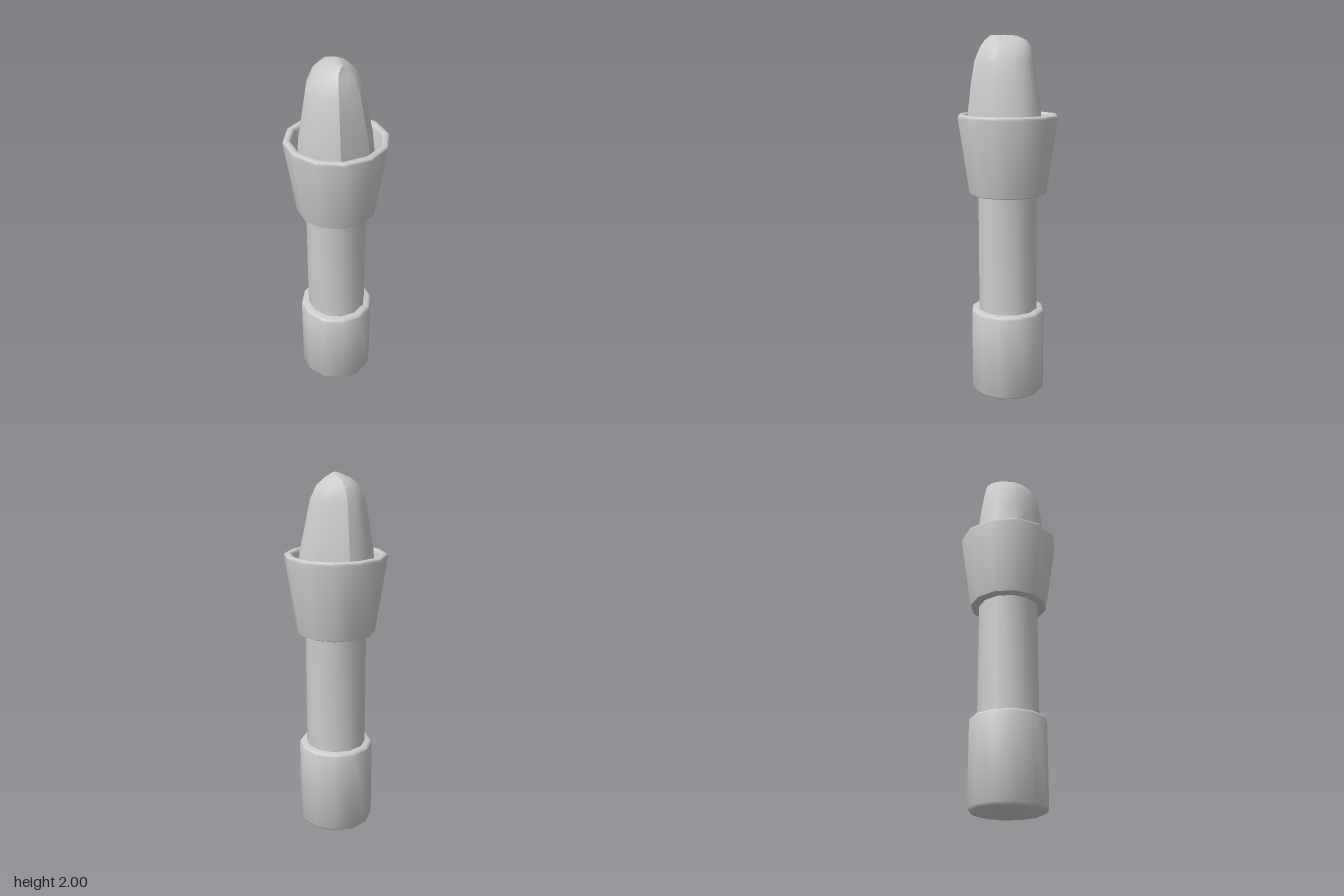
import * as THREE from 'three';
import { toCreasedNormals } from 'three/addons/utils/BufferGeometryUtils.js';

const material = new THREE.MeshStandardMaterial({ color: 0xcccccc });

// Twelve-sided turned part from [radius, height] pairs, bottom to top
function turned(name, profile) {
  const points = profile.map(([r, y]) => new THREE.Vector2(r, y));
  const geometry = toCreasedNormals(new THREE.LatheGeometry(points, 12), 0.85);
  const mesh = new THREE.Mesh(geometry, material);
  mesh.name = name;
  return mesh;
}

// Irregular faceted flame: one outline fitted to the extents of each level
function flame() {
  const outline = [
    [-0.08, -0.2], [0.06, -0.18], [0.15, -0.145], [0.19, -0.1], [0.207, -0.05],
    [0.205, 0], [0.18, 0.09], [0.155, 0.14], [0.08, 0.18], [-0.01, 0.22],
    [-0.1, 0.175], [-0.17, 0.1], [-0.21, 0.02], [-0.185, -0.11], [-0.14, -0.17],
  ];
  // height, x min, x max, z min, z max
  const levels = [
    [1.2, -0.16, 0.16, -0.15, 0.17],
    [1.45, -0.21, 0.207, -0.2, 0.22],
    [1.6, -0.2, 0.19, -0.19, 0.218],
    [1.75, -0.175, 0.158, -0.172, 0.2],
    [1.87, -0.155, 0.133, -0.153, 0.178],
    [1.94, -0.12, 0.1, -0.138, 0.147],
    [1.975, -0.075, 0.06, -0.11, 0.122],
    [1.997, -0.015, 0.025, -0.05, 0.1],
  ];
  const positions = [];
  const index = [];
  const n = outline.length;
  for (const [y, x0, x1, z0, z1] of levels) {
    for (const [x, z] of outline) {
      positions.push(
        THREE.MathUtils.mapLinear(x, -0.21, 0.207, x0, x1),
        y,
        THREE.MathUtils.mapLinear(z, -0.2, 0.22, z0, z1),
      );
    }
  }
  for (let i = 0; i < levels.length - 1; i++) {
    for (let j = 0; j < n; j++) {
      const a = i * n + j;
      const b = i * n + ((j + 1) % n);
      index.push(a, a + n, b, b, a + n, b + n);
    }
  }
  // Close the tip
  const tip = positions.length / 3;
  const last = tip - n;
  positions.push(0.005, 2, 0.02);
  for (let j = 0; j < n; j++) index.push(last + j, tip, last + ((j + 1) % n));

  const geometry = new THREE.BufferGeometry();
  geometry.setAttribute('position', new THREE.Float32BufferAttribute(positions, 3));
  geometry.setIndex(index);
  const mesh = new THREE.Mesh(toCreasedNormals(geometry, 0.6), material);
  mesh.name = 'flame';
  return mesh;
}

export function createModel() {
  const model = new THREE.Group();
  model.name = 'torch';

  model.add(turned('shaft', [[0, 0.4], [0.167, 0.4], [0.167, 1.25], [0, 1.25]]));

  // Grip with softened edges
  model.add(turned('grip', [
    [0, 0], [0.18, 0], [0.2, 0.008], [0.209, 0.022],
    [0.209, 0.475], [0.204, 0.487], [0.192, 0.492], [0, 0.492],
  ]));

  // Flared hollow cup with a rounded rim
  model.add(turned('cup', [
    [0, 1.15], [0.205, 1.15], [0.214, 1.154], [0.217, 1.164],
    [0.277, 1.565], [0.276, 1.578], [0.268, 1.585],
    [0.248, 1.585], [0.239, 1.579], [0.235, 1.565],
    [0.195, 1.28], [0, 1.28],
  ]));

  model.add(flame());
  return model;
}
